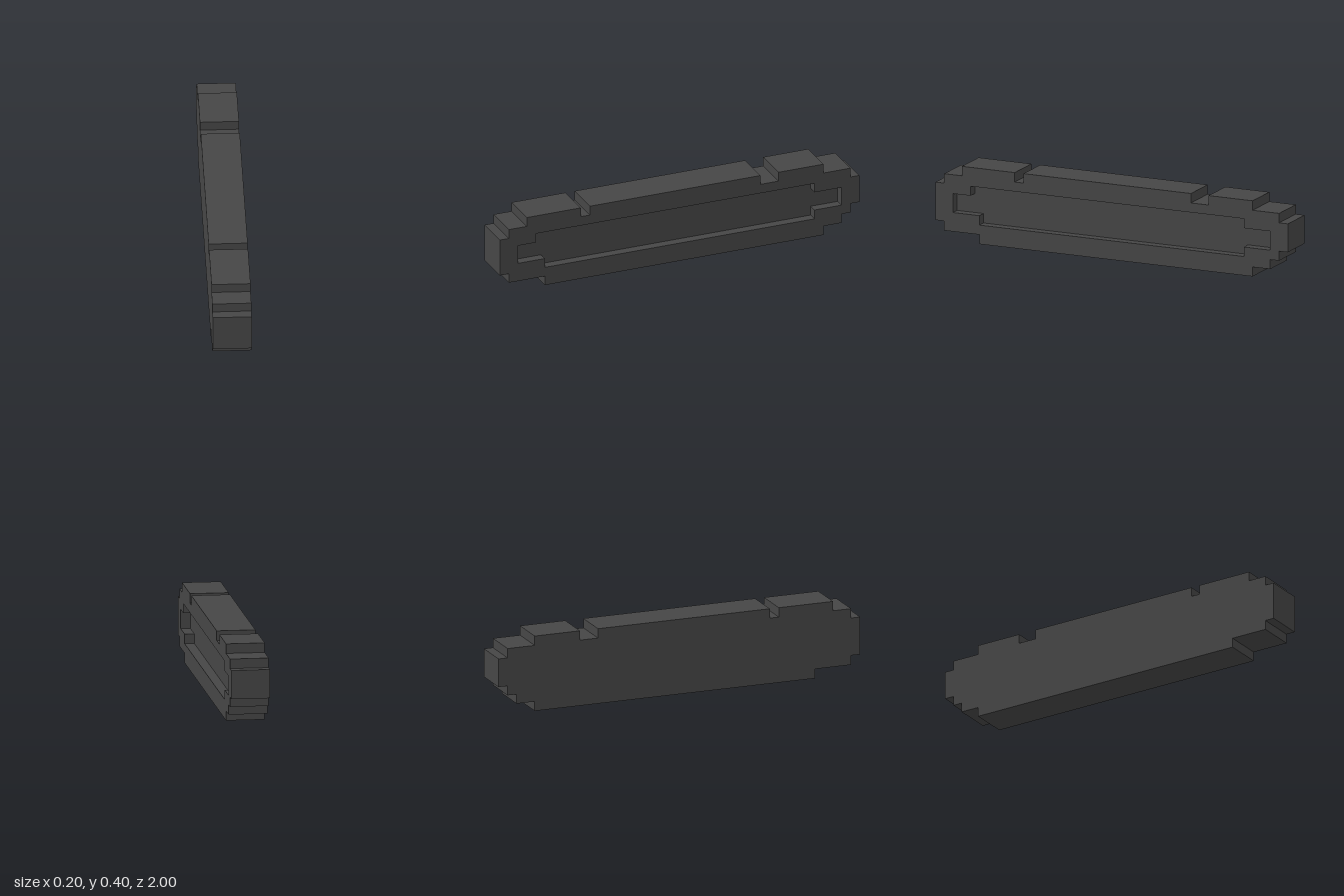
import * as THREE from 'three';
import { mergeGeometries } from 'three/addons/utils/BufferGeometryUtils.js';

const HALF = 0.1;   // half the thickness of the body
const FLOOR = 0.05; // x of the recess floor

// Stepped side outline as [z, y], clockwise seen from +x
const OUTLINE = [
  [1, 0.1], [1, 0.3], [0.95, 0.3], [0.95, 0.35], [0.85, 0.35], [0.85, 0.4],
  [0.55, 0.4], [0.55, 0.35], [0.5, 0.35], [0.5, 0.4],
  [-0.45, 0.4], [-0.45, 0.35], [-0.55, 0.35], [-0.55, 0.4],
  [-0.8, 0.4], [-0.8, 0.35], [-0.95, 0.35], [-0.95, 0.3], [-1, 0.3],
  [-1, 0.15], [-0.95, 0.15], [-0.95, 0.1], [-0.9, 0.1], [-0.9, 0.05],
  [-0.8, 0.05], [-0.8, 0], [0.75, 0], [0.75, 0.05], [0.95, 0.05], [0.95, 0.1],
];

// Recess outline as [z, y], clockwise seen from +x
const RECESS = [
  [0.9, 0.15], [0.9, 0.25], [0.8, 0.25], [0.8, 0.3], [-0.75, 0.3], [-0.75, 0.25],
  [-0.9, 0.25], [-0.9, 0.15], [-0.75, 0.15], [-0.75, 0.1], [0.75, 0.1], [0.75, 0.15],
];

// Flat face at the given x, facing +x (side = 1) or -x (side = -1)
function face(points, x, side, hole) {
  const toVectors = (list) => list.map(([z, y]) => new THREE.Vector2(-side * z, y));
  const shape = new THREE.Shape(toVectors(points));
  if (hole) shape.holes.push(new THREE.Path(toVectors(hole)));
  return new THREE.ShapeGeometry(shape).rotateY(side * Math.PI / 2).translate(x, 0, 0).toNonIndexed();
}

// Straight walls along a closed loop, facing right of its direction seen from +x
function walls(points, x0, x1) {
  const position = [], uv = [];
  points.forEach(([za, ya], i) => {
    const [zb, yb] = points[(i + 1) % points.length];
    const a0 = [x0, ya, za], b0 = [x0, yb, zb], b1 = [x1, yb, zb], a1 = [x1, ya, za];
    position.push(...a0, ...b0, ...b1, ...a0, ...b1, ...a1);
    uv.push(0, 0, 1, 0, 1, 1, 0, 0, 1, 1, 0, 1);
  });
  const geometry = new THREE.BufferGeometry();
  geometry.setAttribute('position', new THREE.Float32BufferAttribute(position, 3));
  geometry.setAttribute('uv', new THREE.Float32BufferAttribute(uv, 2));
  geometry.computeVertexNormals();
  return geometry;
}

export function createModel() {
  const group = new THREE.Group();
  group.name = 'steppedBar';

  const darkGrey = new THREE.MeshStandardMaterial({ color: 0x464646 });
  darkGrey.name = 'darkGrey';

  const add = (name, parts) => {
    const mesh = new THREE.Mesh(mergeGeometries(parts), darkGrey);
    mesh.name = name;
    group.add(mesh);
  };

  // Outer shell with an opening on the +x side
  add('body', [
    face(OUTLINE, HALF, 1, RECESS),
    face(OUTLINE, -HALF, -1),
    walls([...OUTLINE].reverse(), -HALF, HALF),
  ]);

  // Shallow recess: floor and inner walls
  add('recess', [face(RECESS, FLOOR, 1), walls(RECESS, FLOOR, HALF)]);

  return group;
}
